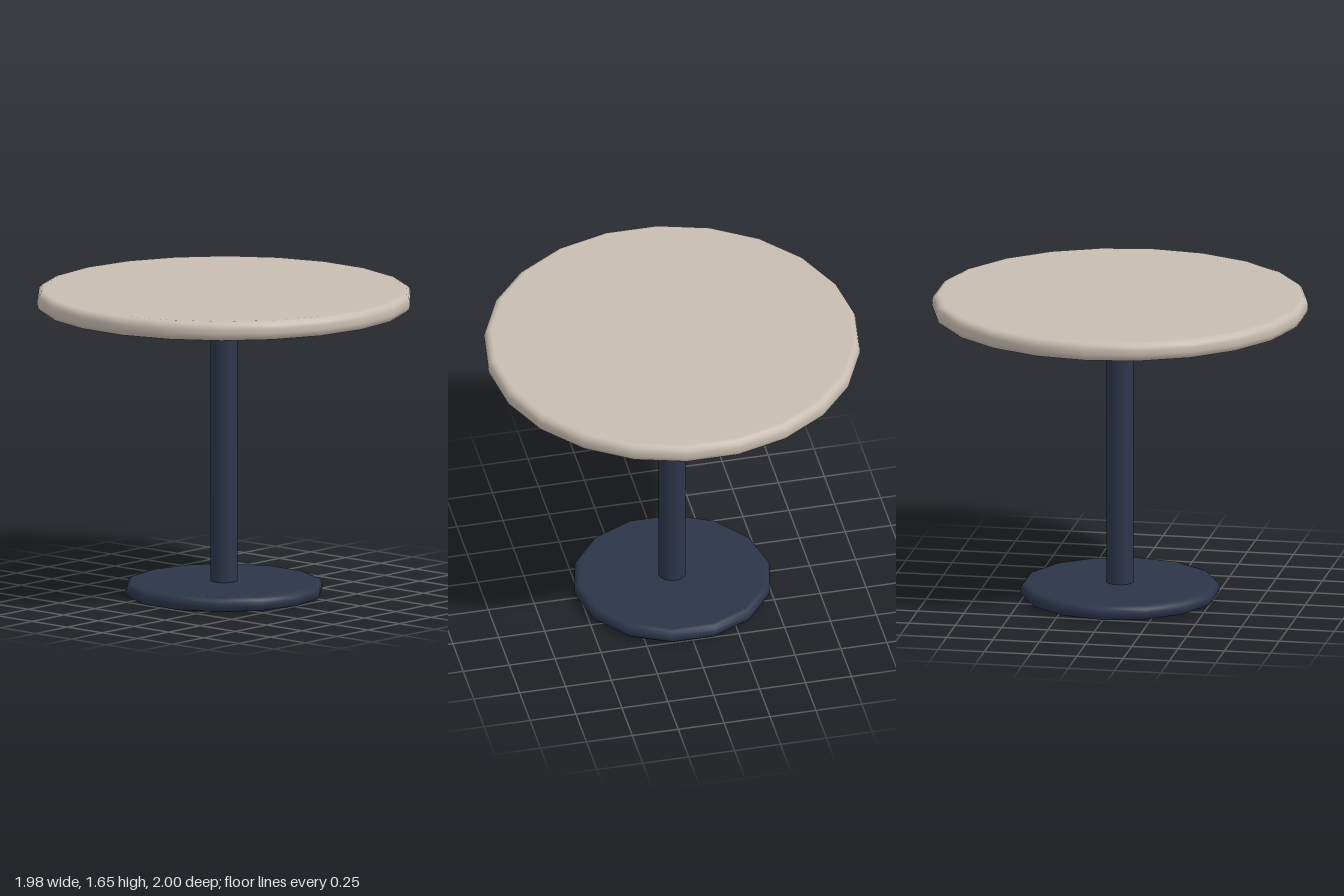
import * as THREE from 'three';

// Solid disc with a softly rounded rim, turned about the y axis.
function roundedDisc(radius, bottom, top, rim, sides) {
  const steps = 3;
  const points = [new THREE.Vector2(0, bottom)];
  const addArc = (centreY, from) => {
    for (let i = 0; i <= steps; i++) {
      const a = from + (i / steps) * Math.PI / 2;
      points.push(new THREE.Vector2(radius - rim + rim * Math.cos(a), centreY + rim * Math.sin(a)));
    }
  };
  addArc(bottom + rim, -Math.PI / 2);
  addArc(top - rim, 0);
  points.push(new THREE.Vector2(0, top));
  return new THREE.LatheGeometry(points, sides);
}

export function createModel() {
  const table = new THREE.Group();
  table.name = 'pedestalTable';

  const stone = new THREE.MeshStandardMaterial({ color: 0xc8bdb1 });
  const darkMetal = new THREE.MeshStandardMaterial({ color: 0x2c364a });

  const add = (name, geometry, material) => {
    const mesh = new THREE.Mesh(geometry, material);
    mesh.name = name;
    table.add(mesh);
    return mesh;
  };

  // Round top, central post and smaller round foot
  add('tableTop', roundedDisc(1, 1.55, 1.655, 0.04, 22), stone);
  const bottom = 0.08, top = 1.55;
  const post = add('post', new THREE.CylinderGeometry(0.073, 0.073, top - bottom, 16), darkMetal);
  post.position.y = (top + bottom) / 2;
  add('base', roundedDisc(0.53, 0, 0.08, 0.034, 14), darkMetal);

  return table;
}
